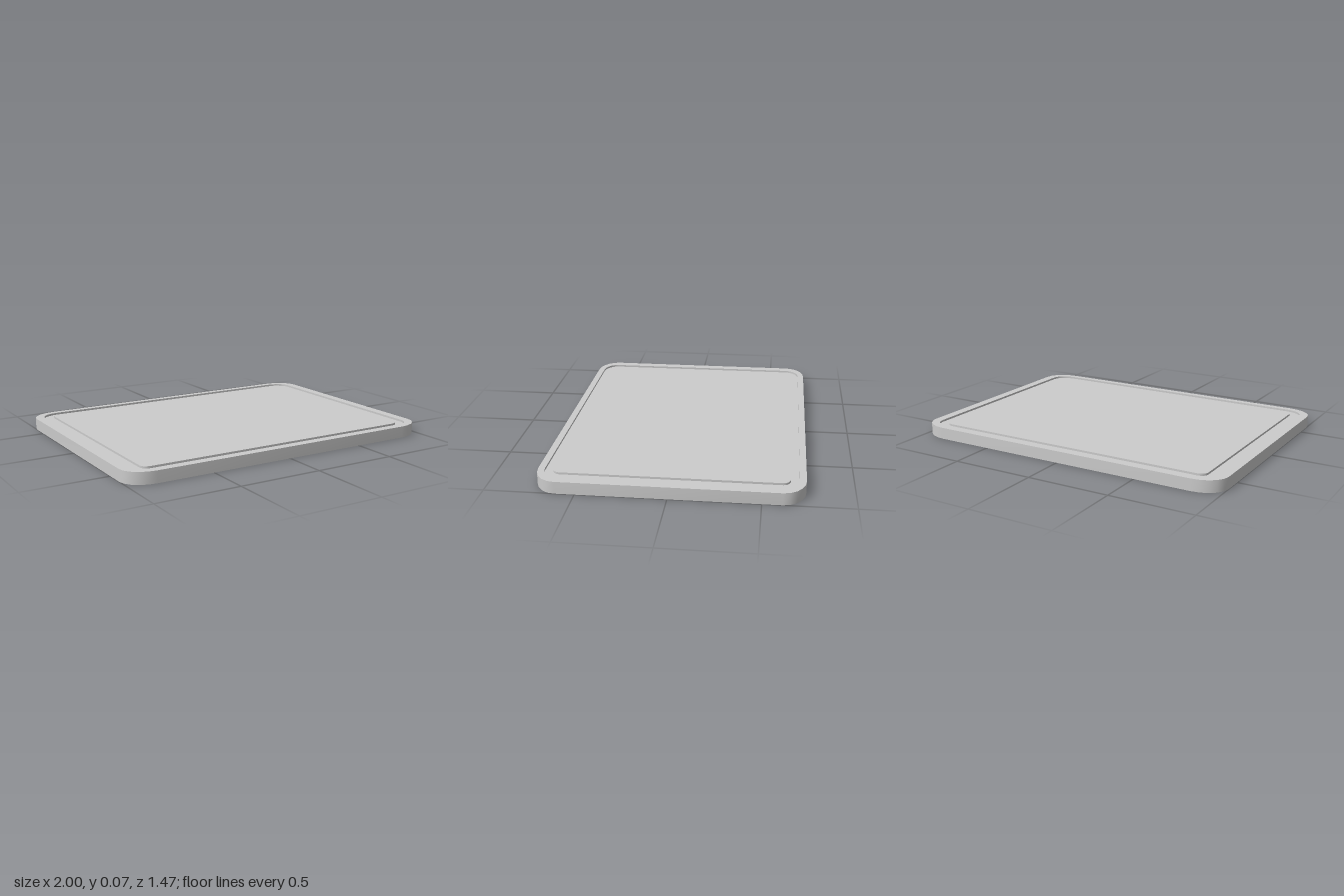
import * as THREE from 'three';
import { toCreasedNormals } from 'three/addons/utils/BufferGeometryUtils.js';

const CORNER_STEPS = 5;

// Rounded rectangle loop with elliptical corners, at height y
function ring({ w, d, rx, rz, y }) {
  const points = [];
  for (let q = 0; q < 4; q++) {
    const sx = q === 0 || q === 3 ? 1 : -1;
    const sz = q < 2 ? 1 : -1;
    for (let i = 0; i <= CORNER_STEPS; i++) {
      const a = (q + i / CORNER_STEPS) * Math.PI / 2;
      points.push([sx * (w - rx) + rx * Math.cos(a), y, sz * (d - rz) + rz * Math.sin(a)]);
    }
  }
  return points;
}

// Skin neighbouring loops, closing both ends with a fan
function skin(rings) {
  const n = rings[0].length;
  const pos = [];
  const tri = (a, b, c) => pos.push(...a, ...b, ...c);
  const first = rings[0], last = rings[rings.length - 1];
  const bottomCentre = [0, first[0][1], 0], topCentre = [0, last[0][1], 0];
  for (let j = 0; j < n; j++) {
    const k = (j + 1) % n;
    tri(bottomCentre, first[j], first[k]);
    for (let i = 0; i < rings.length - 1; i++) {
      const a = rings[i], b = rings[i + 1];
      tri(a[j], b[j], a[k]);
      tri(a[k], b[j], b[k]);
    }
    tri(last[j], topCentre, last[k]);
  }
  const geometry = new THREE.BufferGeometry();
  geometry.setAttribute('position', new THREE.Float32BufferAttribute(pos, 3));
  return toCreasedNormals(geometry, 0.6);
}

export function createModel() {
  const top = 0.07, grooveFloor = 0.058;
  const outer = { w: 1, d: 0.735, rx: 0.16, rz: 0.125 };
  const grooveOuter = { w: 0.945, d: 0.697, rx: 0.11, rz: 0.085 };
  const grooveInner = { w: 0.882, d: 0.65, rx: 0.05, rz: 0.04 };

  // Slab with a shallow juice groove running around the top
  const geometry = skin([
    ring({ ...outer, y: 0 }),
    ring({ ...outer, y: top }),
    ring({ ...grooveOuter, y: top }),
    ring({ ...grooveOuter, y: grooveFloor }),
    ring({ ...grooveInner, y: grooveFloor }),
    ring({ ...grooveInner, y: top }),
  ]);
  const board = new THREE.Mesh(geometry, new THREE.MeshStandardMaterial({ color: 0xcccccc }));
  board.name = 'cuttingBoard';

  const group = new THREE.Group();
  group.name = 'groovedCuttingBoard';
  group.add(board);
  return group;
}
